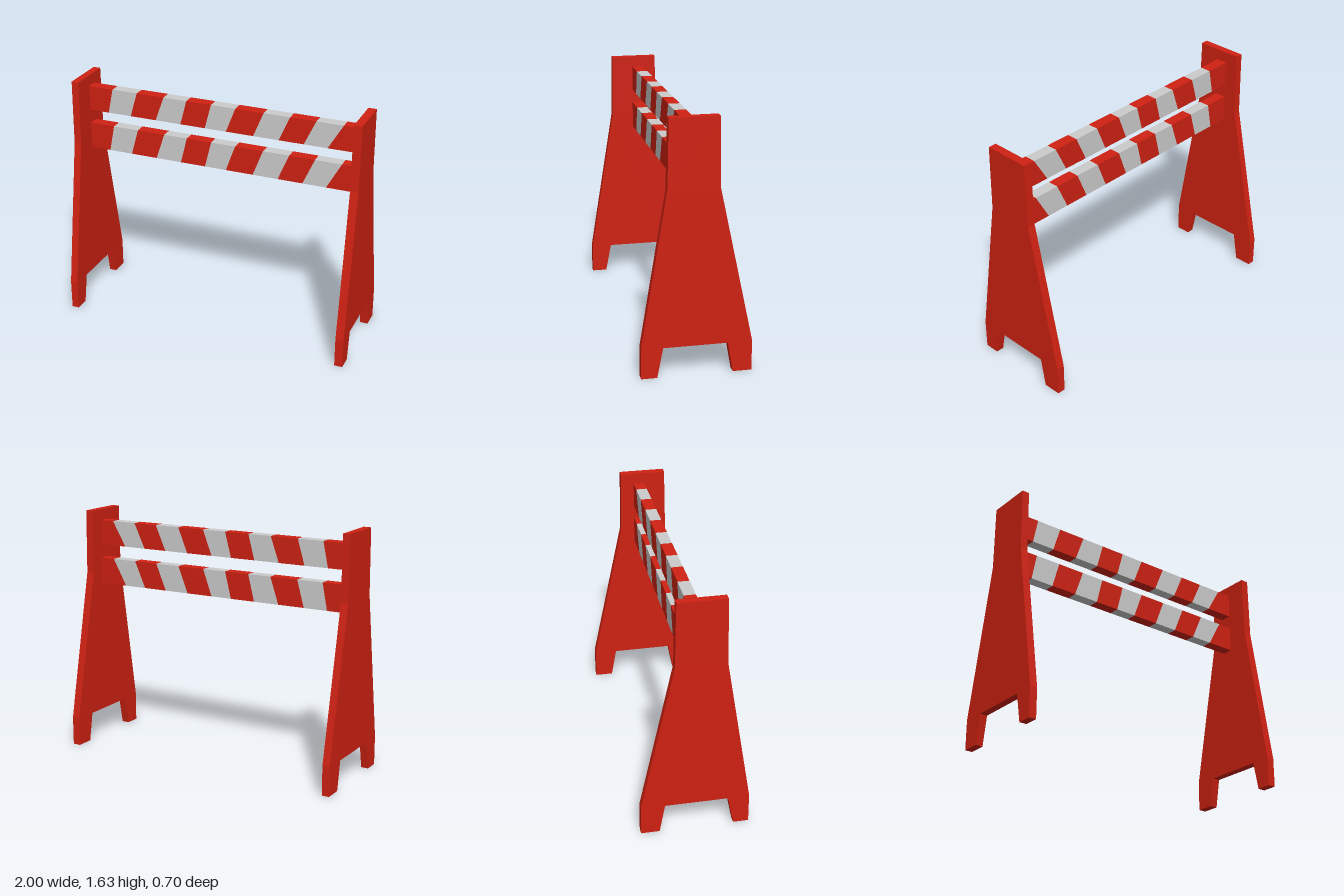
import * as THREE from 'three';

const red = new THREE.MeshStandardMaterial({ color: 0xcf2112 });
const grey = new THREE.MeshStandardMaterial({ color: 0xcccccc });

// Flat outline extruded along z
function extrude(points, depth) {
  const shape = new THREE.Shape(points.map(([x, y]) => new THREE.Vector2(x, y)));
  return new THREE.ExtrudeGeometry(shape, { depth, bevelEnabled: false });
}

// End panel outline as (z, y), with a notch between the feet
const PANEL = [
  [0.35, 0], [0.35, 0.2], [0.187, 1.2], [0.18, 1.635],
  [-0.13, 1.635], [-0.137, 1.2], [-0.35, 0.2], [-0.35, 0],
  [-0.23, 0], [-0.195, 0.195], [0.212, 0.195], [0.25, 0],
];

// Where the slanted stripe boundaries meet the top and bottom plank edges
const TOP = [-0.95, -0.775, -0.595, -0.4, -0.235, -0.06, 0.11, 0.305, 0.485, 0.66, 0.84, 0.945];
const BOTTOM = [-0.95, -0.81, -0.645, -0.46, -0.28, -0.105, 0.045, 0.235, 0.41, 0.58, 0.74, 0.945];

function makePlank(name, y0, y1) {
  const plank = new THREE.Group();
  plank.name = name;
  for (let i = 0; i < TOP.length - 1; i++) {
    const outline = [[BOTTOM[i], y0], [BOTTOM[i + 1], y0], [TOP[i + 1], y1], [TOP[i], y1]];
    const stripe = new THREE.Mesh(extrude(outline, 0.075), i % 2 ? grey : red);
    stripe.name = i % 2 ? 'greyStripe' : 'redStripe';
    stripe.position.z = -0.04;
    plank.add(stripe);
  }
  return plank;
}

export function createModel() {
  const model = new THREE.Group();
  model.name = 'barricade';

  // End panels; the extrusion is turned to run towards -x
  for (const [name, outer, thickness] of [['leftPanel', 1, 0.055], ['rightPanel', -0.95, 0.05]]) {
    const geometry = extrude(PANEL, thickness).rotateY(-Math.PI / 2);
    const panel = new THREE.Mesh(geometry, red);
    panel.name = name;
    panel.position.x = outer;
    model.add(panel);
  }

  // Striped planks between the panels
  model.add(makePlank('upperPlank', 1.39, 1.56), makePlank('lowerPlank', 1.115, 1.295));
  return model;
}
